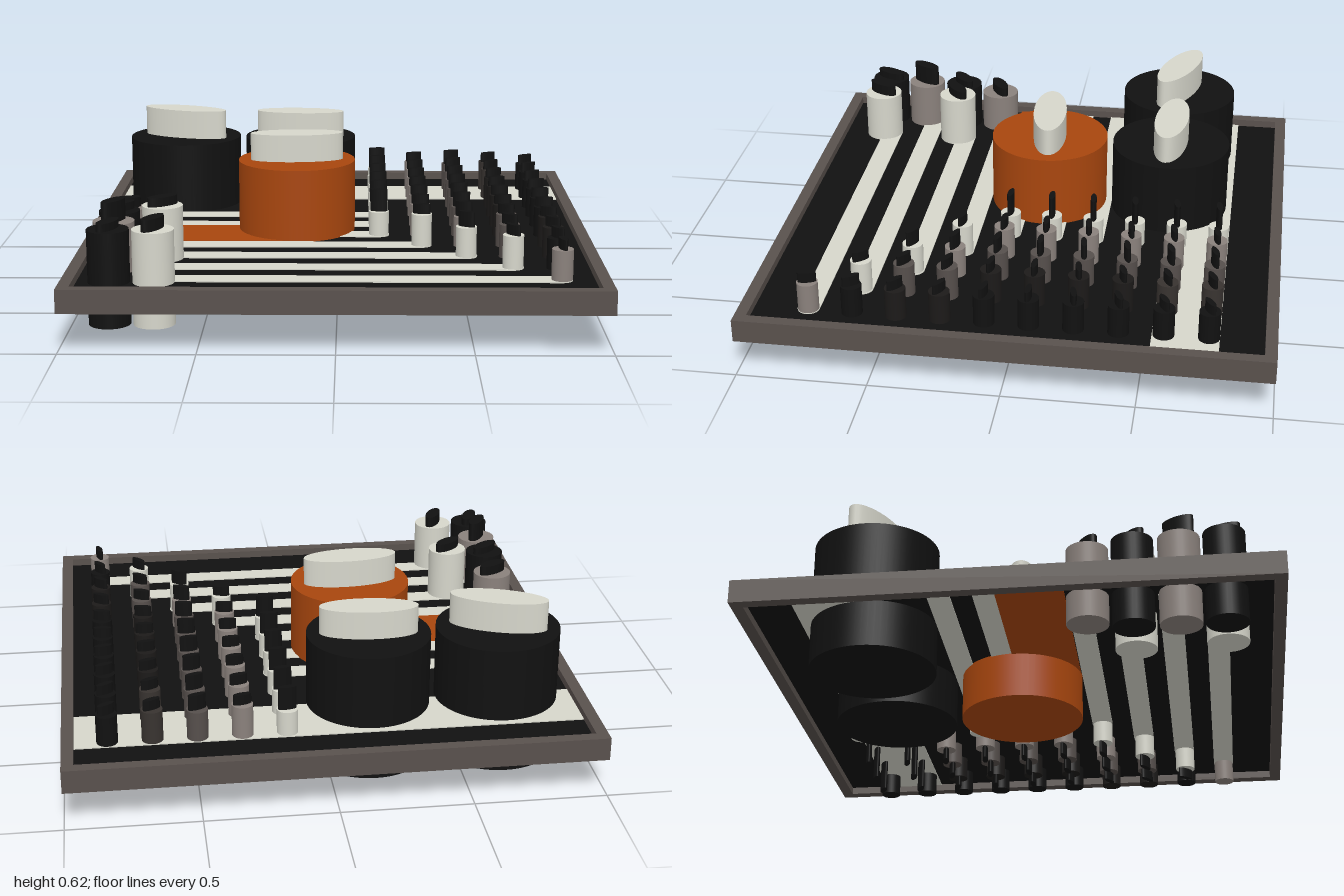
import * as THREE from 'three';

const material = (color) => new THREE.MeshStandardMaterial({ color, roughness: 0.9 });
const WHITE = material(0xd6d6cb), BLACK = material(0x111111), ORANGE = material(0xa8460e);
const FRAME = material(0x59514d), TAUPE = material(0x8a817c);
const SHADES = [WHITE, TAUPE, material(0x564f4c), material(0x383330), material(0x1c1a19), BLACK];

function add(parent, name, geometry, mat, x, y, z) {
  const mesh = new THREE.Mesh(geometry, mat);
  mesh.name = name;
  mesh.position.set(x, y, z);
  parent.add(mesh);
  return mesh;
}

const box = (parent, name, mat, x0, x1, y0, y1, z0, z1) =>
  add(parent, name, new THREE.BoxGeometry(x1 - x0, y1 - y0, z1 - z0), mat,
    (x0 + x1) / 2, (y0 + y1) / 2, (z0 + z1) / 2);

const drum = (parent, name, mat, x, z, radius, y0, y1) =>
  add(parent, name, new THREE.CylinderGeometry(radius, radius, y1 - y0, radius > 0.1 ? 64 : 32), mat,
    x, (y0 + y1) / 2, z);

// Upright oval column; a positive angle turns its +x end towards +z
function oval(parent, name, mat, x, z, halfLong, halfShort, y0, y1, degrees) {
  const geometry = new THREE.CylinderGeometry(1, 1, y1 - y0, 40);
  geometry.scale(halfLong, 1, halfShort);
  const mesh = add(parent, name, geometry, mat, x, (y0 + y1) / 2, z);
  mesh.rotation.y = -THREE.MathUtils.degToRad(degrees);
}

export function createModel() {
  const model = new THREE.Group();
  model.name = 'stripedPegBoard';

  // Square frame around a thin dark panel
  const outline = new THREE.Shape([[-1, -1], [1, -1], [1, 1], [-1, 1]].map(([x, y]) => new THREE.Vector2(x, y)));
  const inner = 0.955;
  outline.holes.push(new THREE.Path(
    [[-inner, -inner], [-inner, inner], [inner, inner], [inner, -inner]].map(([x, y]) => new THREE.Vector2(x, y))));
  const frame = new THREE.ExtrudeGeometry(outline, { depth: 0.09, bevelEnabled: false });
  frame.rotateX(-Math.PI / 2);
  add(model, 'frame', frame, FRAME, 0, 0.15, 0);
  box(model, 'panel', BLACK, -inner, inner, 0.18, 0.21, -inner, inner);

  // Inlaid bands, showing on both faces of the panel
  const low = 0.176, high = 0.214;
  box(model, 'wideBand', WHITE, -inner, inner, low, high, -0.79, -0.54);
  box(model, 'orangeBand', ORANGE, -inner, -0.17, low - 0.002, high + 0.002, -0.045, 0.205);

  // Narrow stripes with a round end: start x, end x, z
  const stripes = [
    [-inner, 0.165, -0.25], [-inner, 0.165, -0.085], [-0.17, 0.165, 0.085],
    [-0.835, 0.33, 0.25], [-0.67, 0.5, 0.415], [-0.835, 0.665, 0.582], [-0.67, 0.83, 0.75],
  ];
  for (const [x0, x1, z] of stripes) {
    const stripe = new THREE.Group();
    stripe.name = 'stripe';
    box(stripe, 'stripeBar', WHITE, x0, x1, low, high, z - 0.042, z + 0.042);
    drum(stripe, 'stripeEnd', WHITE, x1, z, 0.042, low, high);
    model.add(stripe);
  }

  // Large drums with white oval caps: x, z, material, cap top, cap angle
  const large = [
    [-0.67, -0.53, BLACK, 0.62, 20],
    [-0.17, -0.53, BLACK, 0.61, 4],
    [-0.17, -0.03, ORANGE, 0.61, -4],
  ];
  for (const [x, z, mat, top, angle] of large) {
    drum(model, 'largeDrum', mat, x, z, 0.237, 0, 0.5);
    oval(model, 'largeCap', WHITE, x, z, 0.188, 0.067, 0.49, top, angle);
  }

  // Medium drums in the front corner: x, z, material, bottom, top, cap top, cap angle
  const medium = [
    [-0.835, 0.285, TAUPE, 0.07, 0.37, 0.41, -30],
    [-0.835, 0.45, BLACK, 0.05, 0.4, 0.43, -38],
    [-0.67, 0.45, WHITE, 0.04, 0.42, 0.455, -38],
    [-0.835, 0.62, TAUPE, 0.05, 0.4, 0.48, -60],
    [-0.835, 0.785, BLACK, 0.05, 0.41, 0.44, -65],
    [-0.67, 0.785, WHITE, 0.05, 0.41, 0.455, -63],
  ];
  for (const [x, z, mat, y0, y1, top, angle] of medium) {
    drum(model, 'mediumDrum', mat, x, z, 0.078, y0, y1);
    oval(model, 'mediumCap', BLACK, x, z, 0.065, 0.027, y1 - 0.01, top, angle);
  }

  // Grid of small pegs; each digit picks a shade, a dash leaves a gap
  const rows = ['01235', '01235', '01245', '01245', '01245', '01245', '-0124', '--024', '---05', '----1'];
  const turns = [-8, -10, -7, -4, 0, 6, 10, 18, 27, 55];
  const spread = [-6, -5, -4, -2, 1, 2, 5, 6, 7, 5];
  const bodyTops = [0.31, 0.34, 0.33, 0.34, 0.33];
  const pinTops = [0.4, 0.38, 0.39, 0.38, 0.37];
  const pinBottoms = [0.1, 0.04, 0.04, 0.05, 0.1];
  rows.forEach((row, r) => {
    const z = -0.75 + r / 6;
    [...row].forEach((shade, c) => {
      if (shade === '-') return;
      const x = 0.165 + c / 6;
      const peg = new THREE.Group();
      peg.name = 'smallPeg';
      // Middle pegs on the wide band pass only their pin through the panel
      const bottom = r < 2 && c > 0 && c < 4 ? 0.19 : 0.09;
      drum(peg, 'pegBody', SHADES[shade], x, z, 0.04, bottom, bodyTops[c]);
      oval(peg, 'pegPin', BLACK, x, z, 0.035, 0.012, pinBottoms[c], pinTops[c], turns[r] + c * spread[r]);
      model.add(peg);
    });
  });

  return model;
}
